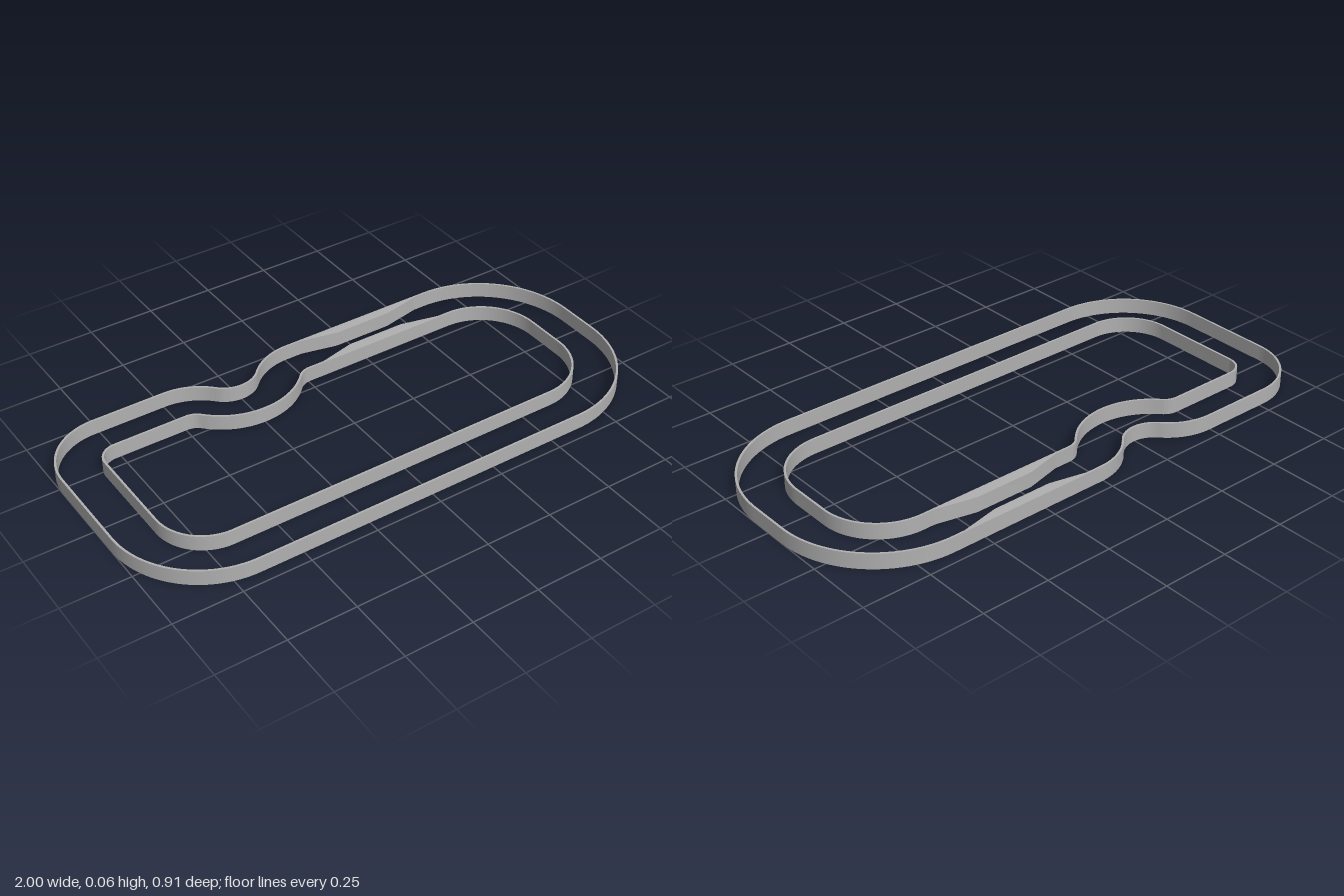
import * as THREE from 'three';
import { toCreasedNormals } from 'three/addons/utils/BufferGeometryUtils.js';

const HEIGHT = 0.057;
const WALL = 0.008;
const OUTER = 0;        // inset of the outer wall
const INNER = 0.157;    // inset of the inner wall

// Closed circuit outline, inset by d from the outermost edge (shape y = -z)
function traceLoop(path, d) {
  const P = Math.PI;
  const a = Math.atan2(0.229, 0.252); // where bend humps meet the dip
  path.absarc(-0.66, -0.116, 0.34 - d, P, 1.5 * P, false);
  path.absarc(0.62, -0.076, 0.38 - d, -P / 2, 0, false);
  path.absarc(0.62, 0.076, 0.38 - d, 0, P / 2, false);
  path.absarc(0.007, 0.226, 0.23 - d, P / 2, P - a, false);
  path.absarc(-0.245, 0.455, 0.1105 + d, -a, a - P, true);
  path.absarc(-0.497, 0.226, 0.23 - d, a, P / 2, false);
  path.absarc(-0.77, 0.226, 0.23 - d, P / 2, P, false);
  path.closePath();
  return path;
}

// Raise a flat plan to wall height, standing on the ground
function raise(shape, name, material) {
  const geo = new THREE.ExtrudeGeometry(shape, { depth: HEIGHT, bevelEnabled: false, curveSegments: 24 });
  geo.rotateX(-Math.PI / 2);
  const mesh = new THREE.Mesh(toCreasedNormals(geo, 0.5), material);
  mesh.name = name;
  return mesh;
}

function wall(inset, name, material) {
  const shape = traceLoop(new THREE.Shape(), inset);
  shape.holes.push(traceLoop(new THREE.Path(), inset + WALL));
  return raise(shape, name, material);
}

// Tapered block that narrows the lane, from wall face y0 to lane edge y1
function narrowing(y0, y1, name, material) {
  const shape = new THREE.Shape([
    new THREE.Vector2(0.07, y0), new THREE.Vector2(0.205, y1),
    new THREE.Vector2(0.43, y1), new THREE.Vector2(0.575, y0),
  ]);
  return raise(shape, name, material);
}

export function createModel() {
  const grey = new THREE.MeshStandardMaterial({ color: 0xb0b0b0 });
  grey.name = 'wall grey';
  const group = new THREE.Group();
  group.name = 'trackWalls';
  group.add(
    wall(OUTER, 'outerWall', grey),
    wall(INNER, 'innerWall', grey),
    narrowing(0.448, 0.418, 'outerNarrowing', grey),
    narrowing(0.299, 0.332, 'innerNarrowing', grey),
  );
  return group;
}
